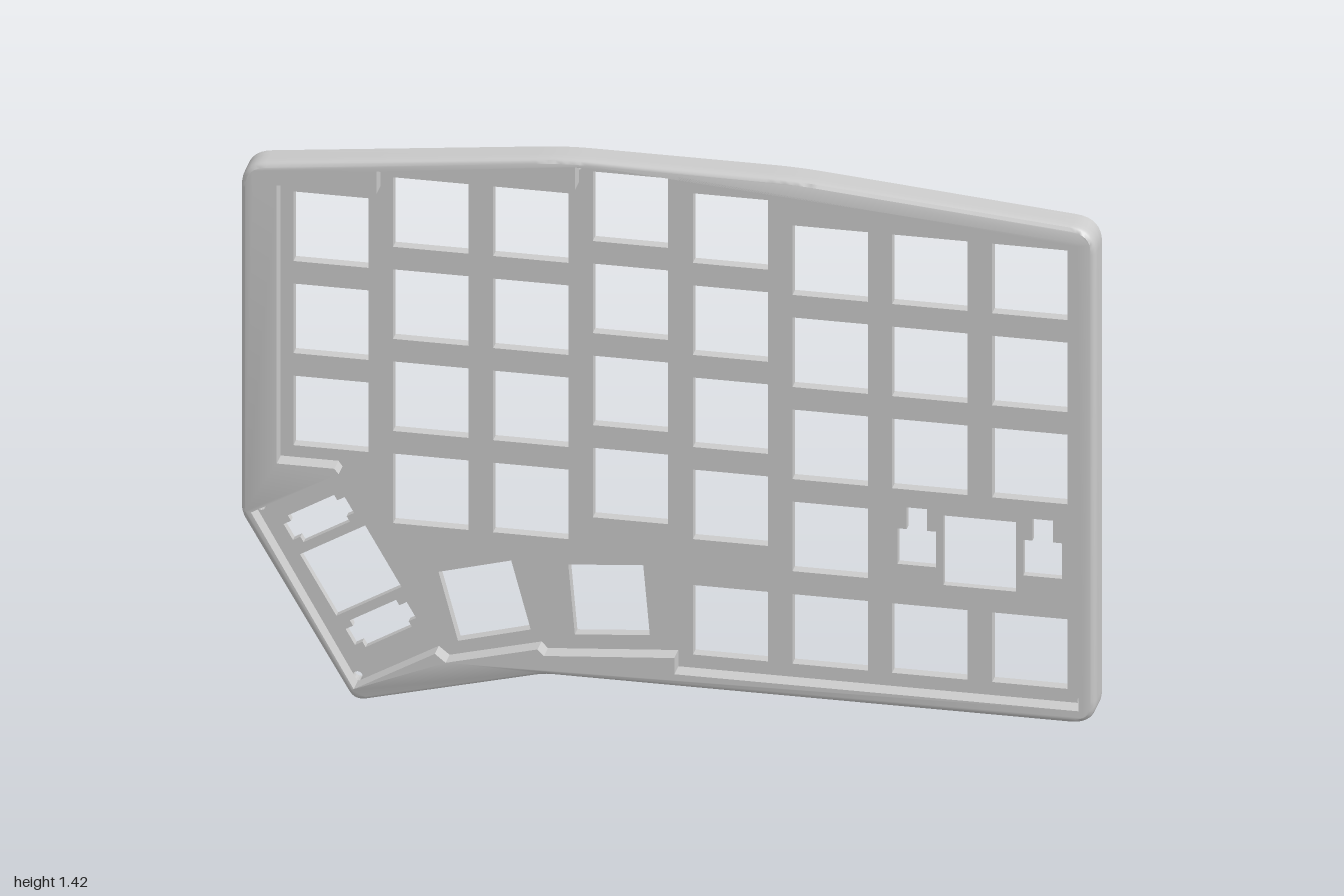
import * as THREE from 'three';
import { toCreasedNormals } from 'three/addons/utils/BufferGeometryUtils.js';

const V = (x, y) => new THREE.Vector2(x, y);
const BACK = -0.036, POCKET = -0.027, FLOOR = -0.008, BEVEL = 0.014, FRONT = 0.036;
const KEY = 0.176, PITCH = 0.233;

// Round each corner [x, y, r] with a short curve
function rounded(corners) {
  const n = corners.length, out = [];
  corners.forEach(([x, y, r], i) => {
    const c = V(x, y);
    const toward = ([px, py]) => V(px, py).sub(c).setLength(r).add(c);
    const a = toward(corners[(i + n - 1) % n]), b = toward(corners[(i + 1) % n]);
    out.push(...new THREE.QuadraticBezierCurve(a, c, b).getPoints(8));
  });
  return out;
}

// Place local points at (cx, cy), turned by an angle in degrees
function place(pts, cx, cy, deg = 0) {
  const a = THREE.MathUtils.degToRad(deg);
  return pts.map(([x, y]) => V(x, y).rotateAround(V(0, 0), a).add(V(cx, cy)));
}
const rect = (w, h, dx = 0, dy = 0) =>
  [[-w / 2, -h / 2], [w / 2, -h / 2], [w / 2, h / 2], [-w / 2, h / 2]].map(([x, y]) => [x + dx, y + dy]);

function circle(cx, cy, r) {
  return Array.from({ length: 16 }, (_, i) => {
    const a = i / 16 * Math.PI * 2;
    return V(cx + r * Math.cos(a), cy + r * Math.sin(a));
  });
}

// Flat slab between two depths with openings cut through it
function slab(outline, holes, z0, z1, steps = 1) {
  const shape = new THREE.Shape(outline);
  shape.holes = holes.map(h => new THREE.Path(h));
  return new THREE.ExtrudeGeometry(shape, { depth: z1 - z0, steps, bevelEnabled: false }).translate(0, 0, z0);
}

// Pull the outer edge inward toward the front, along a quarter ellipse
function roundFrontEdge(geometry, outline, inset) {
  const n = outline.length, p = geometry.attributes.position;
  const normals = outline.map((_, i) => {
    const d = outline[(i + 1) % n].clone().sub(outline[(i + n - 1) % n]).normalize();
    return V(-d.y, d.x);
  });
  for (let i = 0; i < p.count; i++) {
    const t = Math.min(1, (p.getZ(i) - BEVEL) / (FRONT - BEVEL));
    if (t <= 0) continue;
    const at = V(p.getX(i), p.getY(i));
    const k = outline.findIndex(o => o.distanceTo(at) < 1e-4);
    if (k < 0) continue;
    const s = inset * (1 - Math.sqrt(1 - t * t));
    p.setXY(i, at.x + normals[k].x * s, at.y + normals[k].y * s);
  }
  return geometry;
}

export function createModel() {
  const group = new THREE.Group();
  const material = new THREE.MeshStandardMaterial({ color: 0xcccccc });
  const add = (name, geometry) => {
    const mesh = new THREE.Mesh(toCreasedNormals(geometry, 0.65), material);
    mesh.name = name;
    group.add(mesh);
  };

  // Outer case outline, counter-clockwise
  const outline = rounded([
    [-1, 1.33, 0.06], [-1, 0.445, 0.02], [-0.735, -0.007, 0.03], [-0.29, 0.105, 0.02],
    [1, 0.105, 0.06], [1, 1.357, 0.06], [0.29, 1.416, 0.06], [-0.25, 1.416, 0.06],
  ]);

  // Stepped recess that follows the staggered key columns
  const recess = [
    [-0.915, 1.284], [-0.682, 1.284], [-0.682, 1.342], [-0.217, 1.342], [-0.217, 1.398], [0.025, 1.398],
    [0.025, 1.374], [0.254, 1.374], [0.254, 1.315], [0.96, 1.315], [0.96, 0.139], [0.015, 0.139],
    [0.015, 0.18], [-0.29, 0.155], [-0.305, 0.17], [-0.52, 0.115], [-0.545, 0.135], [-0.735, 0.027],
    [-0.975, 0.45], [-0.77, 0.567], [-0.78, 0.58], [-0.915, 0.58],
  ].map(([x, y]) => V(x, y));

  // Key openings: column centre, top row centre, number of rows, extra bottom key
  const keys = [];
  const key = (x, y, deg) => keys.push(place(rect(KEY, KEY), x, y, deg));
  [
    [-0.797, 1.163, 3, false], [-0.564, 1.222, 4, false], [-0.33, 1.222, 4, false], [-0.097, 1.283, 4, false],
    [0.137, 1.251, 4, true], [0.37, 1.193, 4, true], [0.603, 1.193, 3, true], [0.837, 1.193, 3, true],
  ].forEach(([x, top, rows, bottom]) => {
    for (let r = 0; r < rows; r++) key(x, top - r * PITCH);
    if (bottom) key(x, 0.26);
  });
  key(-0.438, 0.26, 15);
  key(-0.147, 0.291, 5);

  // Wide keys: a centre opening with a stabiliser opening on each side
  const stem = [[-0.045, -0.045], [0.045, -0.045], [0.045, 0.045], [0.024, 0.045],
    [0.024, 0.1], [-0.024, 0.1], [-0.024, 0.045], [-0.045, 0.045]];
  const notched = [[-0.022, -0.085], [0.022, -0.085], [0.022, -0.065], [0.037, -0.065], [0.037, 0.06],
    [0.022, 0.06], [0.022, 0.08], [-0.022, 0.08], [-0.022, 0.06], [-0.037, 0.06], [-0.037, -0.065], [-0.022, -0.065]];
  const wideKeys = [], pockets = [];
  const wideKey = (x, y, deg, stabiliser, offset) => {
    wideKeys.push(place(rect(0.17, KEY), x, y, deg));
    for (const s of [-1, 1])
      wideKeys.push(place(stabiliser.map(([u, v]) => [u + s * offset, v]), x, y, deg));
  };
  wideKey(0.72, 0.494, 0, stem, 0.147);
  wideKey(-0.751, 0.305, -60, notched, 0.145);
  pockets.push(place(rect(0.43, 0.245, 0.005, 0.014), 0.72, 0.494));
  pockets.push(place(rect(0.42, 0.235), -0.751, 0.305, -60));

  // Two narrow slots on the back
  for (const x of [0.03, 0.252]) pockets.push(place(rect(0.032, 0.43), x, 1.14));

  // Screw holes around the back edge
  const screws = [
    [0.96, 1.318], [0.3, 1.388], [-0.22, 1.384], [-0.95, 1.29], [-0.96, 0.87], [-0.96, 0.45],
    [-0.735, 0.04], [-0.22, 0.13], [0.3, 0.125], [0.96, 0.145], [0.975, 0.72],
  ].map(([x, y]) => circle(x, y, 0.012));

  add('backLayer', slab(outline, [...keys, ...pockets, ...screws], BACK, POCKET));
  add('keyPlate', slab(outline, [...keys, ...wideKeys, ...screws], POCKET, FLOOR));
  add('raisedRim', roundFrontEdge(slab(outline, [recess], FLOOR, FRONT, 8), outline, 0.011));
  return group;
}
